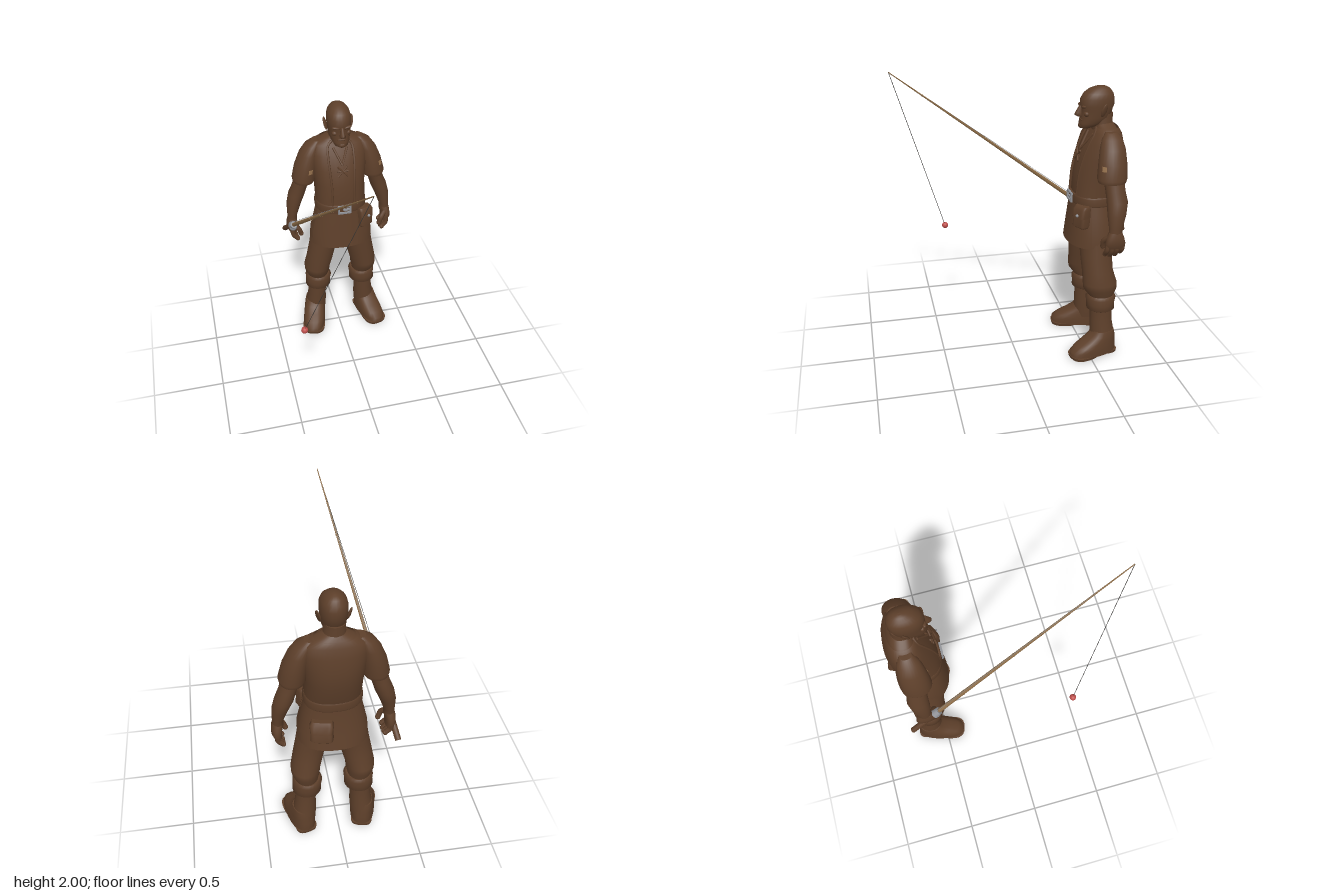
import * as THREE from 'three';

const CX = 0.03; // body centre line
const TAU = Math.PI * 2;
const mat = (name, color, side = THREE.FrontSide) => {
  const m = new THREE.MeshStandardMaterial({ color, side });
  m.name = name;
  return m;
};

export function createModel() {
  const model = new THREE.Group();
  model.name = 'fisherman';
  const brown = mat('brown cloth and skin', 0x5d3f2a, THREE.DoubleSide);
  const wood = mat('rod wood', 0x8a6a45);
  const metal = mat('grey metal', 0x8f9196);
  const red = mat('red float', 0xbf4f4c);
  const dark = mat('dark line', 0x3a3836);
  const tan = mat('tan patch', 0x94704c, THREE.DoubleSide);

  const add = (name, geo, m, pos = [0, 0, 0], parent = model) => {
    const mesh = new THREE.Mesh(geo, m);
    mesh.name = name;
    mesh.position.set(...pos);
    parent.add(mesh);
    return mesh;
  };
  // point on a ring [x, y, z, rx, rz]; angle 0 faces front, p < 1 is boxier
  const ringPoint = ([x, y, z, rx, rz], a, p, grow) => {
    const f = (v) => Math.sign(v) * Math.abs(v) ** p;
    return [x + (rx + grow) * f(Math.sin(a)), y, z + (rz + grow) * f(Math.cos(a))];
  };
  // skin over horizontal rings listed from bottom to top
  const loft = (rings, { n = 24, p = 1, a0 = 0, a1 = TAU, grow = 0 } = {}) => {
    const closed = a1 - a0 > TAU - 1e-6, cols = closed ? n : n + 1;
    const v = [], idx = [];
    const row = (r) => {
      for (let i = 0; i < cols; i++) v.push(...ringPoint(r, a0 + ((a1 - a0) * i) / n, p, grow));
    };
    rings.forEach(row);
    for (let j = 0; j < rings.length - 1; j++)
      for (let i = 0; i < n; i++) {
        const a = j * cols + i, b = j * cols + ((i + 1) % cols);
        idx.push(a, b, b + cols, a, b + cols, a + cols);
      }
    if (closed)
      [rings[0], rings.at(-1)].forEach((r, k) => {
        const s = v.length / 3;
        row(r);
        v.push(r[0], r[1], r[2]);
        for (let i = 0; i < n; i++) {
          const b = s + ((i + 1) % n);
          idx.push(s + n, ...(k ? [s + i, b] : [b, s + i]));
        }
      });
    const g = new THREE.BufferGeometry();
    g.setAttribute('position', new THREE.Float32BufferAttribute(v, 3));
    g.setIndex(idx);
    g.computeVertexNormals();
    return g;
  };
  // tapered rod between two points
  const bar = (name, a, b, ra, rb, m, sides = 8) => {
    const A = new THREE.Vector3(...a), B = new THREE.Vector3(...b);
    const mesh = add(name, new THREE.CylinderGeometry(rb, ra, A.distanceTo(B), sides), m);
    mesh.position.copy(A).lerp(B, 0.5);
    mesh.quaternion.setFromUnitVectors(new THREE.Vector3(0, 1, 0), B.sub(A).normalize());
    return mesh;
  };
  const tube = (name, pts, r, m) => add(name, new THREE.TubeGeometry(
    new THREE.CatmullRomCurve3(pts.map((q) => new THREE.Vector3(...q))), 16, r, 7), m);
  const ball = (name, pos, scale, m = brown) => {
    const b = add(name, new THREE.SphereGeometry(1, 16, 12), m, pos);
    b.scale.set(...scale);
    return b;
  };

  // torso, vest and tunic skirt
  const torso = [
    [CX, 0.86, -0.56, 0.19, 0.12], [CX, 1.08, -0.555, 0.17, 0.13], [CX, 1.16, -0.555, 0.165, 0.135],
    [CX, 1.3, -0.58, 0.168, 0.15], [CX, 1.42, -0.597, 0.182, 0.138], [CX, 1.52, -0.612, 0.19, 0.112],
    [CX, 1.585, -0.622, 0.175, 0.085], [CX, 1.615, -0.622, 0.11, 0.07], [CX, 1.64, -0.615, 0.065, 0.06]];
  add('shirt', loft(torso, { n: 32, p: 0.85 }), brown);
  const vest = torso.slice(2, 8);
  const gap = 0.42;
  add('vest', loft(vest, { n: 32, p: 0.85, a0: gap, a1: TAU - gap, grow: 0.014 }), brown);
  for (const s of [-1, 1])
    tube('vestEdge', vest.map((r) => ringPoint(r, s * gap, 0.85, 0.008)), 0.009, brown);
  const skirt = [[CX, 0.81, -0.565, 0.228, 0.18], [CX, 0.9, -0.56, 0.222, 0.165],
    [CX, 1.02, -0.555, 0.195, 0.148], [CX, 1.12, -0.555, 0.172, 0.138]];
  add('skirtFront', loft(skirt, { p: 0.88, a0: -1.25, a1: 1.25, grow: 0.008 }), brown);
  add('skirtBack', loft(skirt, { p: 0.88, a0: 1.1, a1: TAU - 1.1 }), brown);

  // belt, buckle and pouches
  add('belt', loft([[CX, 1.095, -0.555, 0.182, 0.147], [CX, 1.105, -0.555, 0.187, 0.152],
    [CX, 1.15, -0.555, 0.186, 0.152], [CX, 1.16, -0.555, 0.18, 0.147]], { n: 32, p: 0.85 }), brown);
  for (const s of [-1, 1]) {
    add('buckleBar', new THREE.BoxGeometry(0.095, 0.012, 0.014), metal, [CX, 1.13 + s * 0.027, -0.398]);
    add('buckleSide', new THREE.BoxGeometry(0.013, 0.066, 0.014), metal, [CX + s * 0.042, 1.13, -0.398]);
  }
  add('bucklePin', new THREE.BoxGeometry(0.05, 0.012, 0.014), metal, [CX + 0.015, 1.13, -0.396]);
  const pouch = (name, x, y, z, turn, w, h) => {
    const g = new THREE.Group();
    g.name = name;
    g.position.set(x, y, z);
    g.rotation.y = turn;
    model.add(g);
    const [a, b] = [w / 2, h / 2];
    add('bag', loft([[0, -b, 0, a * 0.85, 0.03], [0, -b * 0.8, 0.004, a, 0.042],
      [0, b * 0.5, 0, a, 0.036], [0, b, -0.005, a * 0.85, 0.022]], { p: 0.45 }), brown, [0, 0, 0], g);
    add('flap', loft([[0, 0, 0.006, a, 0.042], [0, b * 0.8, 0.003, a * 1.06, 0.04],
      [0, b * 1.05, -0.004, a * 0.9, 0.025]], { p: 0.45 }), brown, [0, 0, 0], g);
    return g;
  };
  const frontPouch = pouch('frontPouch', 0.185, 1.03, -0.442, 0.45, 0.11, 0.15);
  add('stud', new THREE.SphereGeometry(0.011, 10, 8), metal, [0.005, 0.02, 0.05], frontPouch);
  pouch('backPouch', 0.12, 0.96, -0.715, Math.PI - 0.3, 0.14, 0.14).rotation.x = 0.15;

  // chest lacing
  for (const s of [-1, 1]) {
    bar('lace', [CX - s * 0.035, 1.385, -0.436], [CX + s * 0.035, 1.455, -0.452], 0.006, 0.006, brown);
    bar('neckOpening', [CX, 1.46, -0.458], [CX + s * 0.05, 1.57, -0.53], 0.007, 0.009, brown);
  }
  bar('lace', [CX - 0.04, 1.42, -0.445], [CX + 0.04, 1.42, -0.445], 0.006, 0.006, brown);

  // head and face
  add('neck', loft([[CX, 1.58, -0.61, 0.085, 0.07], [CX, 1.63, -0.605, 0.068, 0.072],
    [CX, 1.7, -0.6, 0.066, 0.075]]), brown);
  add('head', loft([[CX, 1.605, -0.49, 0.03, 0.03], [CX, 1.615, -0.5, 0.048, 0.055], [CX, 1.64, -0.53, 0.064, 0.083],
    [CX, 1.68, -0.557, 0.075, 0.103], [CX, 1.73, -0.563, 0.079, 0.107], [CX, 1.755, -0.565, 0.083, 0.115],
    [CX, 1.8, -0.567, 0.083, 0.113], [CX, 1.835, -0.573, 0.073, 0.098], [CX, 1.862, -0.58, 0.052, 0.07],
    [CX, 1.876, -0.585, 0.028, 0.038], [CX, 1.88, -0.587, 0.008, 0.01]], { p: 0.9 }), brown);
  add('nose', loft([[CX, 1.683, -0.448, 0.016, 0.016], [CX, 1.694, -0.444, 0.022, 0.032],
    [CX, 1.708, -0.445, 0.017, 0.029], [CX, 1.755, -0.458, 0.011, 0.014]], { n: 12 }), brown);
  ball('upperLip', [CX, 1.664, -0.462, ], [0.033, 0.008, 0.014]);
  ball('lowerLip', [CX, 1.647, -0.464], [0.026, 0.007, 0.014]);
  ball('chin', [CX, 1.622, -0.462], [0.028, 0.02, 0.02]);
  for (const s of [-1, 1]) {
    ball('brow', [CX + s * 0.036, 1.75, -0.464], [0.033, 0.01, 0.014]).rotation.z = s * 0.2;
    ball('cheek', [CX + s * 0.045, 1.705, -0.482], [0.022, 0.018, 0.018]);
    const ear = ball('ear', [CX + s * 0.09, 1.733, -0.588], [0.009, 0.047, 0.024]);
    ear.rotation.set(-0.15, s * 0.5, -s * 0.22);
  }

  // arms, hands, legs and boots, mirrored about the centre line
  for (const s of [-1, 1]) {
    const at = (rings) => rings.map(([x, ...r]) => [CX + s * x, ...r]);
    const sleeve = at([[0.255, 1.3, -0.605, 0.077, 0.092], [0.252, 1.325, -0.605, 0.086, 0.1],
      [0.235, 1.42, -0.61, 0.08, 0.095], [0.208, 1.51, -0.615, 0.07, 0.085],
      [0.18, 1.57, -0.618, 0.055, 0.068], [0.15, 1.605, -0.62, 0.03, 0.04]]);
    add('sleeve', loft(sleeve), brown);
    const mid = (y) => { // sleeve ring at height y
      const t = (y - 1.325) / 0.095;
      return sleeve[1].map((v, i) => v + (sleeve[2][i] - v) * t);
    };
    const a = s > 0 ? 0.55 : 0.1;
    add('patch', loft([mid(1.385), mid(1.418)], { n: 4, a0: a, a1: a + 0.36, grow: 0.004 }), tan);
    add('arm', loft(at([[0.352, 0.96, -0.61, 0.036, 0.045], [0.35, 1.01, -0.612, 0.036, 0.045],
      [0.334, 1.1, -0.62, 0.052, 0.062], [0.308, 1.18, -0.628, 0.06, 0.07],
      [0.283, 1.25, -0.62, 0.056, 0.066], [0.25, 1.36, -0.61, 0.06, 0.07]])), brown);
    add('palm', loft(at([[0.355, 0.875, -0.612, 0.026, 0.06], [0.362, 0.91, -0.61, 0.033, 0.068],
      [0.358, 0.95, -0.61, 0.036, 0.058], [0.352, 0.985, -0.61, 0.034, 0.044]]), { p: 0.85 }), brown);
    for (let i = 0; i < 4; i++) {
      const z = -0.56 - i * 0.034, drop = [0.01, 0, 0.004, 0.02][i];
      tube('finger', [[CX + s * 0.36, 0.9, z], [CX + s * 0.357, 0.855 + drop / 2, z + 0.003],
        [CX + s * 0.325, 0.812 + drop, z + 0.005]], 0.017, brown);
      ball('fingertip', [CX + s * 0.325, 0.812 + drop, z + 0.005], [0.017, 0.017, 0.017]);
    }
    tube('thumb', [[CX + s * 0.35, 0.95, -0.57], [CX + s * 0.318, 0.915, -0.545],
      [CX + s * 0.3, 0.87, -0.545]], 0.018, brown);
    ball('thumbTip', [CX + s * 0.3, 0.87, -0.545], [0.018, 0.018, 0.018]);

    add('trouserLeg', loft(at([[0.178, 0.4, -0.595, 0.07, 0.08], [0.178, 0.445, -0.593, 0.078, 0.088],
      [0.183, 0.5, -0.583, 0.095, 0.118], [0.182, 0.54, -0.58, 0.097, 0.12], [0.162, 0.63, -0.565, 0.101, 0.108],
      [0.14, 0.74, -0.557, 0.102, 0.11], [0.115, 0.86, -0.555, 0.108, 0.112]])), brown);
    add('bootCuff', loft(at([[0.178, 0.33, -0.595, 0.075, 0.08], [0.177, 0.345, -0.594, 0.098, 0.1],
      [0.176, 0.38, -0.593, 0.094, 0.098], [0.173, 0.425, -0.594, 0.1, 0.106],
      [0.173, 0.445, -0.594, 0.085, 0.092]])), brown);
    add('bootShaft', loft(at([[0.202, 0.08, -0.61, 0.078, 0.09], [0.195, 0.17, -0.605, 0.078, 0.085],
      [0.188, 0.25, -0.597, 0.07, 0.078], [0.184, 0.35, -0.595, 0.07, 0.077]])), brown);

    const foot = new THREE.Group();
    foot.name = 'foot';
    foot.position.set(CX + s * 0.208, 0, -0.605);
    foot.rotation.y = s * 0.25;
    model.add(foot);
    add('bootFoot', loft([[0, 0.012, 0.075, 0.085, 0.175], [0, 0.05, 0.074, 0.085, 0.174],
      [0, 0.08, 0.056, 0.083, 0.153], [0, 0.11, 0.03, 0.079, 0.123], [0, 0.145, 0.004, 0.076, 0.093],
      [0, 0.18, -0.004, 0.068, 0.077]], { p: 0.8 }), brown, [0, 0, 0], foot);
    add('sole', loft([[0, 0, 0.15, 0.084, 0.1], [0, 0.02, 0.15, 0.088, 0.105]], { p: 0.75 }), brown, [0, 0, 0], foot);
    add('heel', loft([[0, 0, -0.045, 0.07, 0.055], [0, 0.02, -0.045, 0.074, 0.058]], { p: 0.7 }), brown, [0, 0, 0], foot);
  }

  // fishing rod, reel ring, guides, line and float
  const butt = [-0.366, 0.815, -0.72], tip = [-0.083, 2, 0.77];
  const along = (t, dy = 0) => butt.map((v, i) => v + (tip[i] - v) * t + (i === 1 ? dy : 0));
  bar('rod', butt, tip, 0.017, 0.003, wood, 10);
  bar('rodHandle', butt, along(0.12), 0.02, 0.02, brown, 10);
  bar('reelRing', along(0.115), along(0.14), 0.03, 0.026, metal, 14);
  ball('reel', along(0.125, -0.02), [0.028, 0.025, 0.028], metal);
  for (let i = 1; i < 7; i++) bar('guide', along(0.14 + i * 0.12), along(0.143 + i * 0.12), 0.017 - i * 0.0018, 0.017 - i * 0.0018, wood);
  bar('rodLine', along(0.13, 0.028), tip, 0.0015, 0.0015, metal, 5);
  const floatPos = [-0.43, 0.793, 0.41];
  bar('hangingLine', tip, floatPos, 0.0018, 0.0018, dark, 5);
  ball('float', floatPos, [0.023, 0.023, 0.023], red);
  return model;
}
